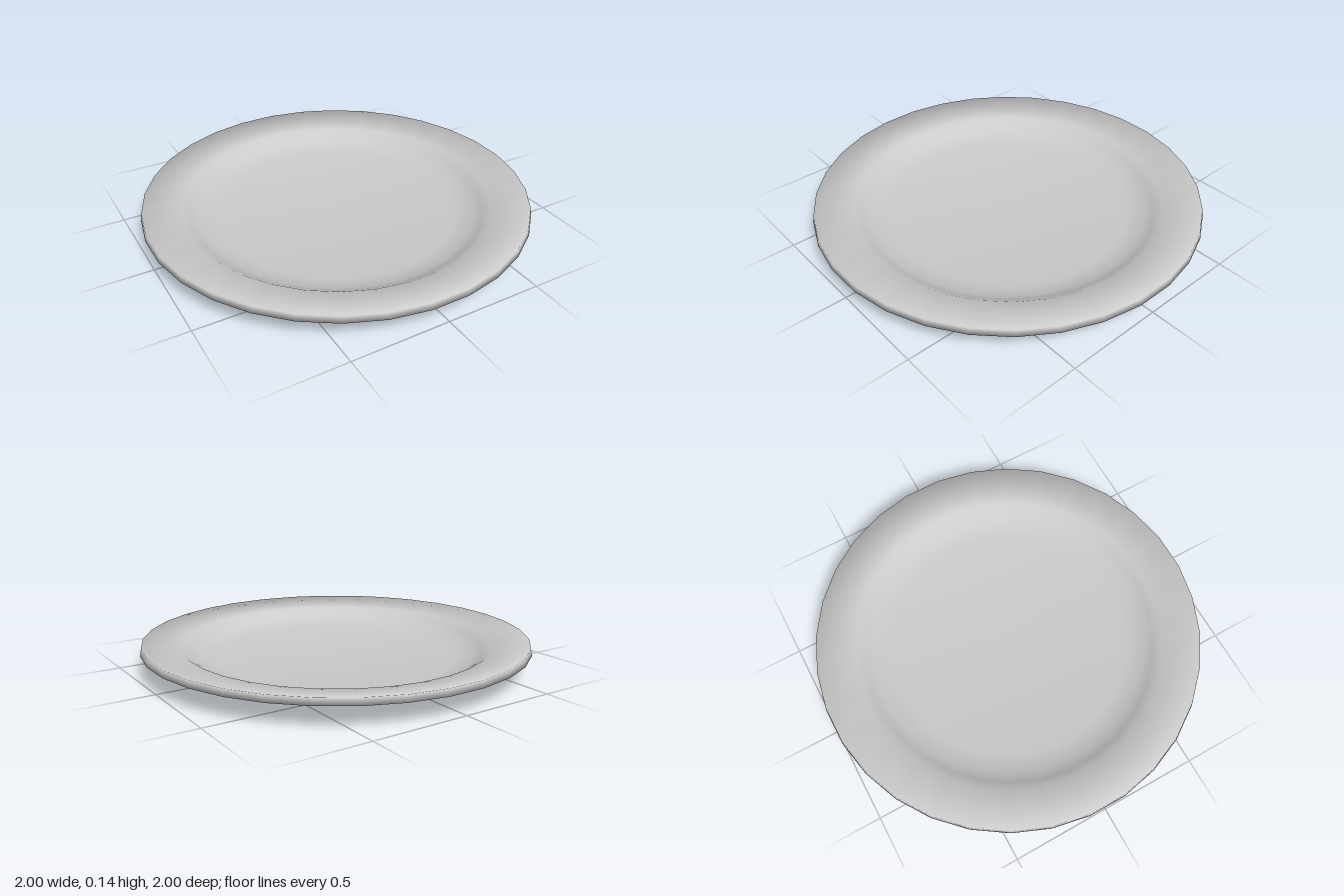
import * as THREE from 'three';

const SIDES = 32;

// Closed cross-section: underside from the centre out, over the rim, back to the centre.
const PROFILE = [
  [0, 0], [0.59, 0], [0.69, 0.018], [0.75, 0.046], [0.79, 0.075], // foot and outer curve
  [1.004, 0.105], [0.998, 0.14],                                  // rim edge
  [0.8, 0.11], [0.76, 0.083], [0.71, 0.055], [0.62, 0.038], [0, 0.036], // rim top, well, floor
].map(([r, y]) => new THREE.Vector2(r, y));

// Outward normal of the profile segment that starts at point i.
function segmentNormal(i) {
  const d = PROFILE[i + 1].clone().sub(PROFILE[i]).normalize();
  return new THREE.Vector2(d.y, -d.x);
}

// Smooth normals, with both neighbouring segments weighted equally so the rim shades round.
function softenNormals(geometry) {
  const last = PROFILE.length - 1;
  const normals = PROFILE.map((p, i) =>
    segmentNormal(Math.max(i - 1, 0)).add(segmentNormal(Math.min(i, last - 1))).normalize());
  for (let s = 0; s <= SIDES; s++) {
    const phi = Math.PI / SIDES + (s / SIDES) * Math.PI * 2;
    normals.forEach((n, j) => geometry.attributes.normal.setXYZ(
      s * PROFILE.length + j, n.x * Math.sin(phi), n.y, n.x * Math.cos(phi)));
  }
  return geometry;
}

export function createModel() {
  const group = new THREE.Group();
  group.name = 'dinnerPlate';

  const geometry = softenNormals(new THREE.LatheGeometry(PROFILE, SIDES, Math.PI / SIDES));
  const plate = new THREE.Mesh(geometry, new THREE.MeshStandardMaterial({ color: 0xcccccc }));
  plate.name = 'plate';
  group.add(plate);

  return group;
}
